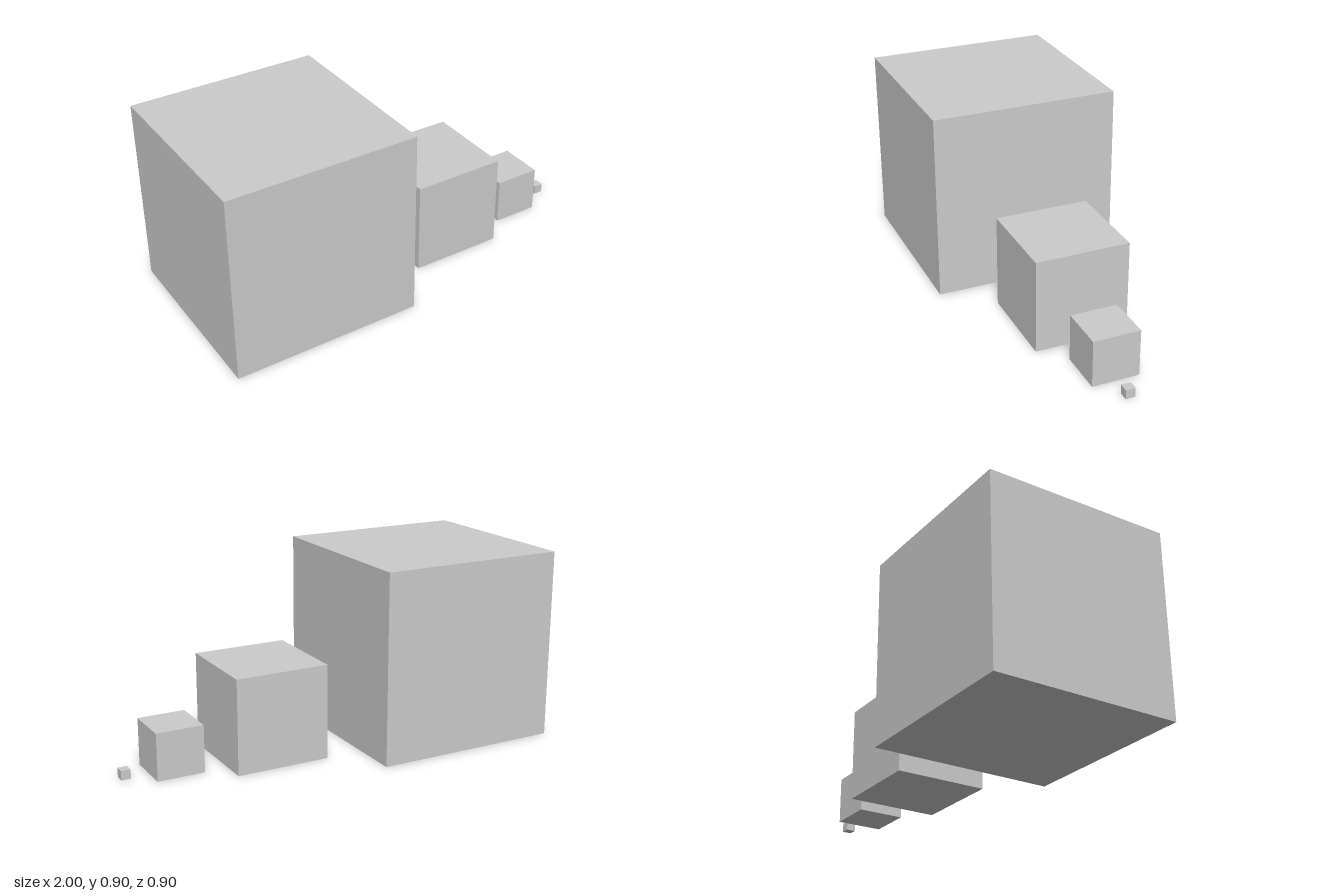
import * as THREE from 'three';

const UNIT = 2 / 2.225; // edge of the largest cube

// Each cube: name, edge and centre x, in units of the largest cube
const CUBES = [
  ['largeCube', 1, 0],
  ['mediumCube', 0.5, 0.95],
  ['smallCube', 0.25, 1.45],
  ['tinyCube', 0.05, 1.7],
];

export function createModel() {
  const group = new THREE.Group();
  group.name = 'cubeRow';
  const material = new THREE.MeshStandardMaterial({ color: 0xcccccc });

  // Row of shrinking cubes, all resting on the ground
  for (const [name, edge, x] of CUBES) {
    const size = edge * UNIT;
    const cube = new THREE.Mesh(new THREE.BoxGeometry(size, size, size), material);
    cube.name = name;
    cube.position.set(-1 + (x + 0.5) * UNIT, size / 2, 0);
    group.add(cube);
  }
  return group;
}
